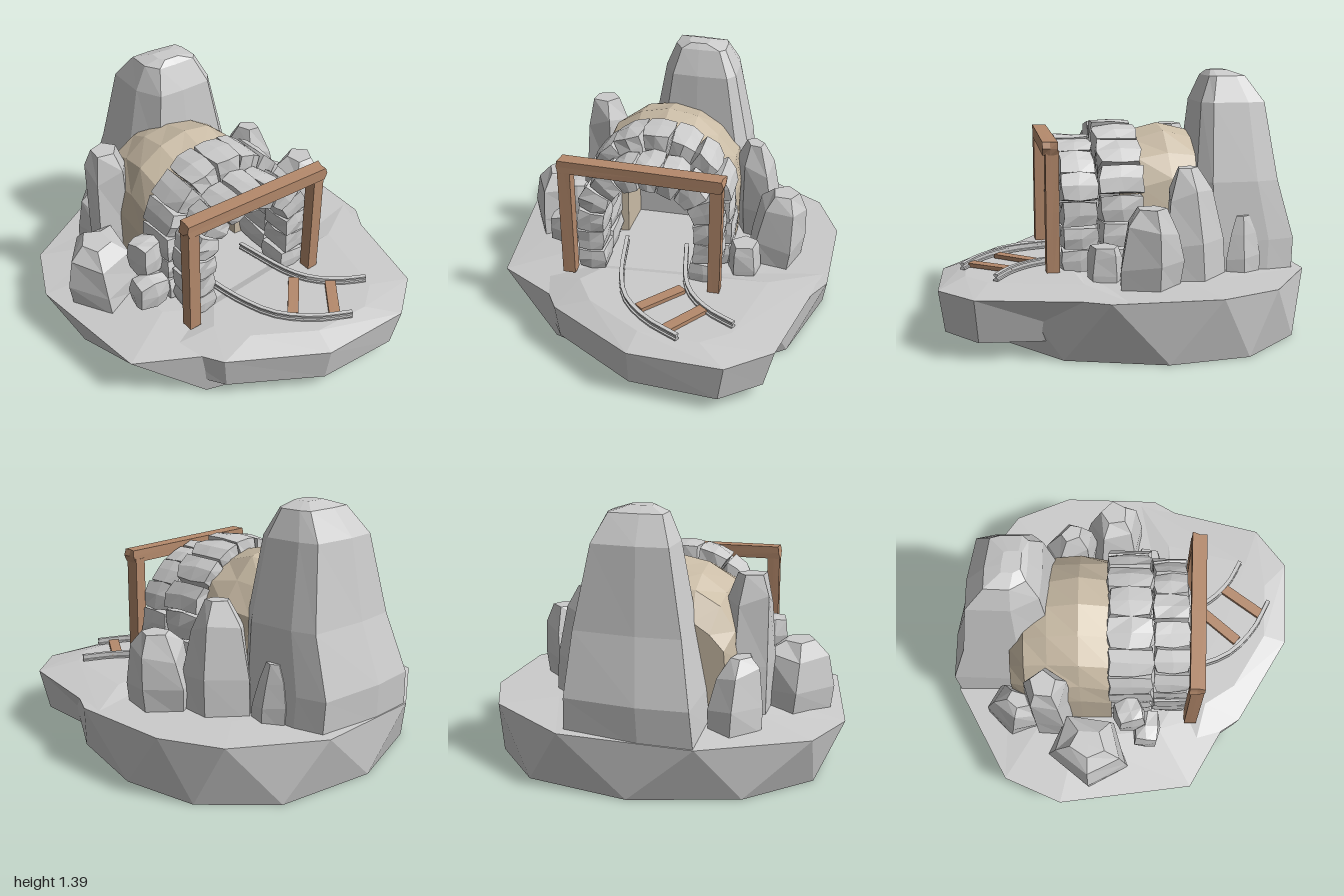
import * as THREE from 'three';

const mat = (color) => new THREE.MeshStandardMaterial({ color, flatShading: true, side: THREE.DoubleSide });
const stoneMat = mat(0xcccccc), woodMat = mat(0xb58a6c), tanMat = mat(0xcabca6);

// repeatable noise in -1..1 for a position
const noise = (x, y, z, s) => {
  const v = Math.sin(x * 12.99 + y * 78.23 + z * 37.72 + s * 4.17) * 43758.5453;
  return (v - Math.floor(v)) * 2 - 1;
};

const add = (parent, name, geo, material) => {
  const m = new THREE.Mesh(geo, material);
  m.name = name;
  parent.add(m);
  return m;
};

// skin over closed rings of equal length, with optional end caps
function loft(rings, capStart = true, capEnd = true) {
  const n = rings[0].length, pos = rings.flat(2), idx = [];
  for (let r = 0; r < rings.length - 1; r++) {
    for (let i = 0; i < n; i++) {
      const a = r * n + i, b = r * n + (i + 1) % n;
      idx.push(a, b, b + n, a, b + n, a + n);
    }
  }
  const cap = (r, flip) => {
    const c = pos.length / 3;
    for (let k = 0; k < 3; k++) pos.push(rings[r].reduce((s, p) => s + p[k], 0) / n);
    for (let i = 0; i < n; i++) {
      const a = r * n + i, b = r * n + (i + 1) % n;
      idx.push(c, ...(flip ? [b, a] : [a, b]));
    }
  };
  if (capStart) cap(0, true);
  if (capEnd) cap(rings.length - 1, false);
  // make the faces point outward
  const P = (i) => new THREE.Vector3().fromArray(pos, i * 3);
  let volume = 0;
  for (let i = 0; i < idx.length; i += 3) volume += P(idx[i]).dot(P(idx[i + 1]).cross(P(idx[i + 2])));
  if (volume < 0) idx.reverse();
  const g = new THREE.BufferGeometry();
  g.setAttribute('position', new THREE.Float32BufferAttribute(pos, 3));
  g.setIndex(idx);
  g.computeVertexNormals();
  return g;
}

// box with worn corners and a slightly rough surface, in a unit cube
function roughBox(seed, wear, rough) {
  const g = new THREE.BoxGeometry(1, 1, 1, 2, 2, 2), p = g.attributes.position;
  for (let i = 0; i < p.count; i++) {
    const v = [p.getX(i), p.getY(i), p.getZ(i)];
    const edge = v.filter((c) => Math.abs(c) > 0.49).length;
    const k = 1 - wear * (edge - 1);
    p.setXYZ(i, ...v.map((c, a) => c * k + rough * noise(v[0], v[1], v[2], seed + a * 7)));
  }
  return g;
}

// faceted boulder: radii, height, lean of the top, and widths of shoulder and tip
function rock(parent, name, [x, z], [rx, rz], top, turn, seed, lean, shoulder, tip) {
  const levels = [[0, 1], [0.35, 1.02], [0.78, shoulder], [1, tip]], y0 = 0.28, h = top - y0;
  const c = Math.cos(turn), n = Math.sin(turn);
  const rings = levels.map(([t, s], l) => Array.from({ length: 5 }, (_, i) => {
    const a = i / 5 * Math.PI * 2, k = s * (1.03 + 0.08 * noise(i, l, 0, seed));
    const dx = rx * k * Math.cos(a), dz = rz * k * Math.sin(a);
    const drop = l === 1 || l === 2 ? 0.12 * noise(i, 3, l, seed) : 0;
    return [x + dx * c + dz * n + lean[0] * t, y0 + h * t * (1 - drop), z - dx * n + dz * c + lean[1] * t];
  }));
  add(parent, name, loft(rings), stoneMat);
}

// arch of stones: two straight legs and a half circle, opening along x
function stoneArch(parent, name, x, width, radius, thick, springY, seed) {
  const g = new THREE.Group(), y0 = 0.33, cz = 0.04, count = 13;
  g.name = name;
  const mid = radius - thick / 2, leg = springY - y0, L = leg * 2 + Math.PI * mid;
  const at = (s, r) => {
    if (s < leg) return [y0 + s, cz + r];
    if (s > L - leg) return [y0 + L - s, cz - r];
    const a = (s - leg) / mid;
    return [springY + r * Math.sin(a), cz + r * Math.cos(a)];
  };
  for (let i = 0; i < count; i++) {
    const geo = roughBox(seed + i, 0.06, 0.045), p = geo.attributes.position;
    const out = 0.012 * noise(i, 1, 2, seed);
    for (let k = 0; k < p.count; k++) {
      const s = (i + 0.5 + p.getY(k)) / count * L;
      const [y, z] = at(s, mid + out + p.getZ(k) * thick);
      p.setXYZ(k, x + p.getX(k) * width, y, z);
    }
    add(g, 'archStone', geo, stoneMat);
  }
  parent.add(g);
}

// wooden beam between two points
function beam(parent, name, a, b, w, d, seed) {
  const A = new THREE.Vector3(...a), B = new THREE.Vector3(...b);
  const m = add(parent, name, roughBox(seed, 0, 0.01), woodMat);
  m.scale.set(w, d, A.distanceTo(B));
  m.position.copy(A).lerp(B, 0.5);
  m.lookAt(B);
}

// D-shaped cross-section of the tunnel
const tunnelRing = (x, half, top, cz, rough = 0) => Array.from({ length: 11 }, (_, i) => {
  if (i === 0 || i === 10) return [x, 0.3, cz + (i ? -half : half)];
  const a = (i - 1) / 8 * Math.PI, spring = Math.max(0.4, top - half);
  const k = 1 + rough * noise(x, i, 0, 5);
  return [x, spring + (top - spring) * Math.sin(a) * k, cz + half * Math.cos(a) * k];
});

export function createModel() {
  const model = new THREE.Group();
  model.name = 'mineEntrance';

  // ground: main slab with a staggered underside, and a thinner ledge on the open side
  const slab = (name, outline, under, bottom, crown) => {
    const [cx, cz] = [0, 1].map((k) => outline.reduce((s, p) => s + p[k], 0) / outline.length);
    add(model, name, loft([
      under.map(([x, z]) => [x, bottom, z]),
      outline.map(([x, z]) => [x, 0.3 - 0.03 * z, z]),
      outline.map(([x, z]) => [cx + (x - cx) * 0.65, crown, cz + (z - cz) * 0.65]),
    ]), stoneMat);
  };
  slab('groundSlab',
    [[-0.36, -0.96], [0.19, -0.94], [0.62, -0.68], [0.75, -0.2], [0.65, 0.4], [0.37, 0.87],
      [-0.38, 0.96], [-0.7, 0.82], [-0.99, 0.29], [-0.98, -0.4], [-0.68, -0.83]],
    [[-0.1, -0.92], [0.4, -0.76], [0.66, -0.42], [0.71, 0.05], [0.56, 0.52], [-0.18, 0.85],
      [-0.55, 0.82], [-0.85, 0.5], [-0.98, -0.05], [-0.85, -0.6], [-0.52, -0.88]], 0, 0.325);
  slab('groundLedge',
    [[0.1, -0.92], [0.83, -0.73], [1, -0.5], [0.97, 0], [0.67, 0.48], [0.4, 0.65], [0.2, 0.5]],
    [[0.2, -0.74], [0.81, -0.68], [0.97, -0.47], [0.94, 0], [0.66, 0.46], [0.57, 0.52], [0.2, 0.45]], 0.09, 0.345);

  // tall rock at the back end: bounds x0, x1, z0, z1 at each height
  const plan = [[0.1, 0.05], [0.35, 0], [0.85, 0], [1, 0.1], [1, 0.5], [0.97, 0.84], [0.6, 1], [0, 0.98], [0, 0.6]];
  const bounds = [[0.27, -0.98, -0.37, -0.42, 0.3], [0.48, -0.99, -0.38, -0.41, 0.28], [0.8, -0.89, -0.39, -0.38, 0.22],
    [1.22, -0.82, -0.43, -0.29, 0.14], [1.36, -0.71, -0.49, -0.22, 0.08], [1.39, -0.62, -0.52, -0.12, 0]];
  add(model, 'tallRock', loft(bounds.map(([y, x0, x1, z0, z1]) =>
    plan.map(([u, v]) => [x0 + (x1 - x0) * u, y, z0 + (z1 - z0) * v]))), stoneMat);

  // earth mound around the tunnel, its lining and the closed end
  add(model, 'earthMound', loft([tunnelRing(-0.08, 0.42, 1.04, 0.05, 0.02), tunnelRing(-0.25, 0.42, 1.08, 0.05, 0.04),
    tunnelRing(-0.42, 0.41, 1.05, 0.05, 0.04), tunnelRing(-0.55, 0.37, 0.99, 0.06, 0.04),
    tunnelRing(-0.64, 0.28, 0.85, 0.1, 0.04)], false, true), tanMat);
  add(model, 'tunnelLining', loft([tunnelRing(-0.08, 0.4, 1.02, 0.04), tunnelRing(-0.1, 0.23, 0.84, 0.035),
    tunnelRing(-0.36, 0.22, 0.82, 0.035)], false, false), tanMat);
  add(model, 'tunnelEnd', loft([tunnelRing(-0.35, 0.22, 0.82, 0.035), tunnelRing(-0.37, 0.22, 0.82, 0.035)]), stoneMat);

  // two stone arches
  stoneArch(model, 'rearArch', 0.025, 0.25, 0.43, 0.17, 0.68, 10);
  stoneArch(model, 'frontArch', 0.25, 0.2, 0.4, 0.16, 0.64, 50);

  // wooden gate
  const gate = new THREE.Group();
  gate.name = 'woodenGate';
  beam(gate, 'gatePost', [0.375, 0.34, 0.475], [0.375, 0.99, 0.475], 0.07, 0.07, 3);
  beam(gate, 'gatePost', [0.4, 0.34, -0.345], [0.4, 0.99, -0.345], 0.07, 0.065, 4);
  beam(gate, 'gateBeam', [0.372, 1.005, 0.51], [0.41, 1.005, -0.38], 0.08, 0.07, 5);
  model.add(gate);

  // boulders around the tunnel
  rock(model, 'slenderRock', [-0.43, 0.45], [0.13, 0.14], 1.04, 0.3, 1, [0, 0.02], 0.9, 0.55);
  rock(model, 'sideRock', [-0.66, 0.43], [0.17, 0.12], 0.65, -0.5, 2, [0.06, 0.02], 0.8, 0.4);
  rock(model, 'largeRock', [-0.21, 0.66], [0.23, 0.19], 0.65, -0.4, 3, [0, 0.04], 0.84, 0.42);
  rock(model, 'backRock', [-0.06, -0.61], [0.17, 0.16], 0.73, 0.5, 4, [0, -0.05], 0.82, 0.45);
  rock(model, 'backTallRock', [-0.34, -0.48], [0.19, 0.13], 0.9, 0.6, 5, [0.04, 0.03], 0.75, 0.35);
  rock(model, 'backSmallRock', [0.14, -0.47], [0.1, 0.09], 0.5, -0.5, 6, [0, 0], 0.95, 0.75);
  rock(model, 'backThinRock', [-0.63, -0.42], [0.1, 0.06], 0.62, 0.3, 7, [0, 0.02], 0.75, 0.4);

  // loose stones beside the arch
  [[0.02, 0.61, 0.53, 0.17, 0.21, 0.15], [0.115, 0.455, 0.57, 0.15, 0.18, 0.2]]
    .forEach(([x, y, z, w, h, d], i) => {
      const m = add(model, 'looseStone', roughBox(i + 80, 0.11, 0.05), stoneMat);
      m.position.set(x, y, z);
      m.scale.set(w, h, d);
      m.rotation.y = 0.25 - i * 0.3;
    });

  // curved track: I-shaped rails on wooden ties
  const track = new THREE.Group();
  track.name = 'track';
  const section = [[-1, 0], [1, 0], [1, 0.25], [0.35, 0.3], [0.35, 0.7], [0.8, 0.75], [0.8, 1], [-0.8, 1],
    [-0.8, 0.75], [-0.35, 0.7], [-0.35, 0.3], [-1, 0.25]];
  [[[0.05, 0.235], [0.42, 0.17], [0.62, 0.09], [0.77, -0.06], [0.87, -0.24]],
    [[0.05, -0.12], [0.4, -0.19], [0.52, -0.25], [0.63, -0.36], [0.71, -0.5]]].forEach((pts) => {
    const curve = new THREE.CatmullRomCurve3(pts.map(([x, z]) => new THREE.Vector3(x, 0.35, z)));
    const rings = Array.from({ length: 13 }, (_, i) => {
      const c = curve.getPointAt(i / 12), t = curve.getTangentAt(i / 12);
      return section.map(([u, v]) => [c.x - t.z * u * 0.014, c.y + v * 0.037, c.z + t.x * u * 0.014]);
    });
    add(track, 'rail', loft(rings), stoneMat);
  });
  beam(track, 'tie', [0.6, 0.36, -0.33], [0.82, 0.36, -0.16], 0.06, 0.022, 8);
  beam(track, 'tie', [0.46, 0.36, -0.18], [0.67, 0.36, 0.01], 0.06, 0.022, 9);
  model.add(track);

  return model;
}
